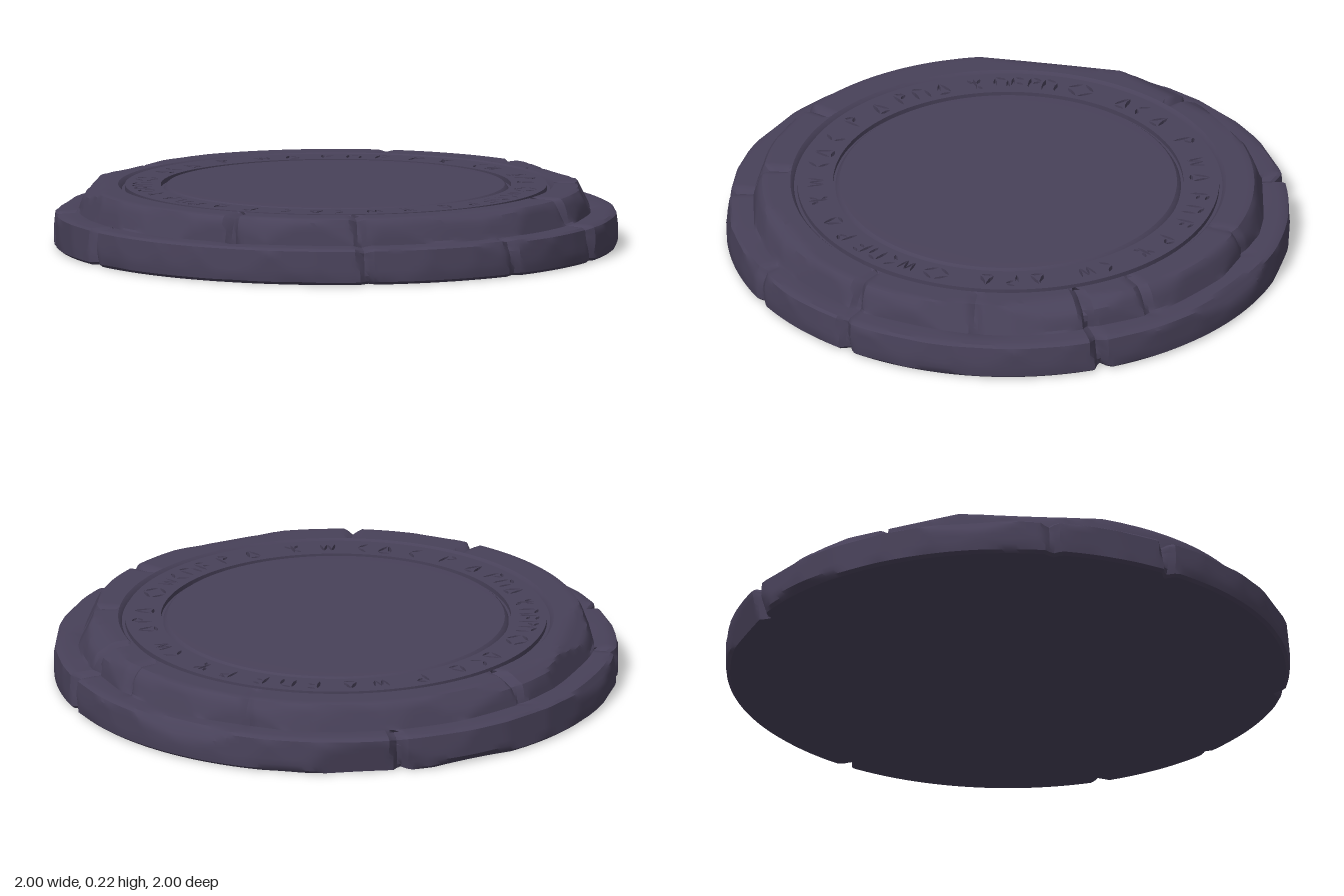
import * as THREE from 'three';
import { toCreasedNormals } from 'three/addons/utils/BufferGeometryUtils.js';

const stone = new THREE.MeshStandardMaterial({ color: 0x484159 });
stone.name = 'dark stone';
const DEG = Math.PI / 180;

// Small seeded random, for repeatable weathering
function seeded(seed) {
  return () => {
    seed = (seed * 16807) % 2147483647;
    return seed / 2147483647;
  };
}

// Chisel planes that chop flats into a rim: the point they start from is (radius, height)
function chopPlanes(count, radius, height, tilt, maxDepth, rand) {
  const planes = [];
  for (let i = 0; i < count; i++) {
    const a = ((i + rand() * 0.8) / count) * Math.PI * 2;
    const e = tilt * (0.3 + rand());
    const depth = 0.002 + maxDepth * rand() ** 3;
    const n = new THREE.Vector3(Math.cos(a) * Math.cos(e), Math.sin(e), Math.sin(a) * Math.cos(e));
    planes.push({ n, d: radius * Math.cos(e) + height * Math.sin(e) - depth });
  }
  return planes;
}

function chop(p, planes) {
  for (const { n, d } of planes) {
    const over = p.dot(n) - d;
    if (over > 0) p.addScaledVector(n, -over);
  }
}

// Cracks: [angle in degrees from +x towards +z, depth, lower step?, upper step?]
const cracks = [
  [139, 0.04, 1, 0], [103, 0.035, 0, 1], [73, 0.03, 1, 1], [14, 0.035, 1, 1],
  [319, 0.05, 1, 1], [237, 0.04, 1, 0], [203, 0.04, 0, 1], [304, 0.025, 0, 1],
  [165, 0.025, 1, 0], [40, 0.02, 1, 0], [270, 0.015, 0, 1], [345, 0.02, 0, 1],
];

function buildBody() {
  const profile = [
    [0, 0], [0.5, 0], [0.9, 0], [0.95, 0], [0.985, 0], [0.998, 0.01], [1, 0.03], [1, 0.05],
    [1, 0.07], [1, 0.09], [1, 0.108], [0.994, 0.12], [0.98, 0.127], [0.96, 0.128], [0.935, 0.129],
    [0.918, 0.13], [0.91, 0.136], [0.905, 0.15], [0.898, 0.17], [0.89, 0.19], [0.882, 0.207],
    [0.872, 0.217], [0.86, 0.22], [0.845, 0.22], [0.82, 0.22], [0.795, 0.22], [0.772, 0.22],
    [0.765, 0.213], [0.759, 0.202], [0.68, 0.202], [0.612, 0.202], [0.605, 0.213], [0.598, 0.219],
    [0.56, 0.22], [0, 0.22],
  ].map(([r, y]) => new THREE.Vector2(r, y));
  const geo = new THREE.LatheGeometry(profile, 360);

  const rand = seeded(4127);
  const lower = [
    ...chopPlanes(34, 1, 0.07, 0.12, 0.006, rand),
    ...chopPlanes(22, 0.995, 0.125, 0.7, 0.024, rand),
    ...chopPlanes(18, 0.995, 0, -0.6, 0.022, rand),
  ];
  const upper = [
    ...chopPlanes(24, 0.9, 0.165, 0.36, 0.008, rand),
    ...chopPlanes(26, 0.875, 0.218, 0.85, 0.022, rand),
  ];

  const pos = geo.attributes.position;
  const p = new THREE.Vector3();
  for (let i = 0; i < pos.count; i++) {
    p.fromBufferAttribute(pos, i);
    const r = Math.hypot(p.x, p.z);
    const isLower = r > 0.925;
    const isUpper = r > 0.79 && !isLower;
    if (!isLower && !isUpper) continue;
    chop(p, isLower ? lower : upper);
    // Narrow V-shaped cracks running across the steps
    const angle = Math.atan2(p.z, p.x);
    for (const [deg, depth, low, up] of cracks) {
      if (!(isLower ? low : up)) continue;
      const slant = deg * DEG + (p.y - 0.1) * 0.15;
      const off = Math.abs(Math.atan2(Math.sin(angle - slant), Math.cos(angle - slant)));
      const f = Math.max(0, 1 - off / 0.03);
      const shrink = 1 - depth * f;
      p.x *= shrink;
      p.z *= shrink;
      if (p.y > 0.1) p.y -= depth * f * 0.4;
    }
    pos.setXYZ(i, p.x, Math.max(0, p.y), p.z);
  }
  return toCreasedNormals(geo, 0.5);
}

// Carved signs as strokes [u1, v1, u2, v2]: u runs around the ring, v runs outwards
const signs = {
  diamond: [[-1, 0, 0, 1], [0, 1, 1, 0], [1, 0, 0, -1], [0, -1, -1, 0]],
  triangle: [[-0.9, -0.8, 0, 0.9], [0, 0.9, 0.9, -0.8], [0.9, -0.8, -0.9, -0.8]],
  flag: [[-0.7, -1, -0.7, 1], [-0.5, 1, 0.8, 0.5], [0.8, 0.5, -0.4, 0]],
  fork: [[-0.7, -1, -0.7, 1], [-0.5, 0.9, 0.8, 0.6], [-0.4, 0.1, 0.7, -0.2]],
  zigzag: [[-1, 0.8, -0.5, -0.9], [-0.5, -0.9, 0, 0.7], [0, 0.7, 0.5, -0.9], [0.5, -0.9, 1, 0.8]],
  angle: [[0.6, 1, -0.7, 0], [-0.7, 0, 0.6, -1]],
  gate: [[-0.8, -1, -0.8, 0.9], [-0.8, 0.9, 0.8, 0.5], [0.8, 0.5, 0.8, -1]],
  branch: [[0, -1, 0, 1], [0.25, 0, 0.9, 0.8], [-0.25, 0, -0.9, 0.8], [0.25, -0.3, 0.8, -0.9]],
};

// Position of each sign on the ring in degrees, one diamond on each side
const ringSigns = [
  [0, 'diamond'], [9.5, 'zigzag'], [15, 'angle'], [21, 'gate'], [27, 'fork'], [35, 'flag'],
  [44, 'triangle'], [57, 'branch'], [67.5, 'zigzag'], [78, 'angle'], [85, 'triangle'], [94, 'angle'],
  [105.5, 'flag'], [116, 'triangle'], [125, 'flag'], [131, 'gate'], [138, 'triangle'], [148, 'branch'],
  [156, 'gate'], [161, 'fork'], [166, 'flag'], [170.5, 'gate'], [180, 'diamond'], [195, 'triangle'],
  [201.5, 'angle'], [210, 'triangle'], [224, 'flag'], [236.5, 'zigzag'], [245.6, 'triangle'],
  [256.7, 'fork'], [264.4, 'gate'], [273, 'fork'], [284, 'flag'], [293, 'branch'], [307, 'angle'],
  [314, 'zigzag'], [329, 'triangle'], [337, 'flag'], [344.5, 'triangle'],
];

// One chiselled stroke: a long lozenge cut as a hole in the ring plate
function strokeHole([u1, v1, u2, v2], deg, halfU, halfV, width) {
  const a = -deg * DEG;
  const start = new THREE.Vector2(u1 * halfU, v1 * halfV);
  const end = new THREE.Vector2(u2 * halfU, v2 * halfV);
  const dir = end.clone().sub(start);
  const side = new THREE.Vector2(-dir.y, dir.x).normalize().multiplyScalar(width);
  const outline = [[0.07, 0], [0.33, -1], [0.67, -1], [0.93, 0], [0.67, 1], [0.33, 1]];
  return new THREE.Path(outline.map(([t, s]) => {
    const q = start.clone().addScaledVector(dir, t).addScaledVector(side, s);
    const r = 0.683 + q.y;
    return new THREE.Vector2(
      r * Math.cos(a) + q.x * Math.sin(a),
      r * Math.sin(a) - q.x * Math.cos(a),
    );
  }));
}

function buildRing() {
  const circle = (r) => Array.from({ length: 120 }, (_, i) =>
    new THREE.Vector2(r * Math.cos(i * 3 * DEG), r * Math.sin(i * 3 * DEG)));
  const shape = new THREE.Shape(circle(0.748));
  shape.holes.push(new THREE.Path(circle(0.621)));
  for (const [deg, name] of ringSigns) {
    const big = name === 'diamond';
    for (const stroke of signs[name]) {
      const width = name === 'zigzag' ? 0.0042 : 0.0058;
      shape.holes.push(strokeHole(stroke, deg, big ? 0.052 : 0.028, big ? 0.044 : 0.042, width));
    }
  }
  const geo = new THREE.ExtrudeGeometry(shape, { depth: 0.022, bevelEnabled: false });
  geo.rotateX(-Math.PI / 2);
  geo.translate(0, 0.197, 0);
  return geo;
}

export function createModel() {
  const group = new THREE.Group();
  group.name = 'stonePlatform';
  const add = (name, geo) => {
    const mesh = new THREE.Mesh(geo, stone);
    mesh.name = name;
    group.add(mesh);
  };
  add('steppedBody', buildBody());
  add('carvedRing', buildRing());
  return group;
}
